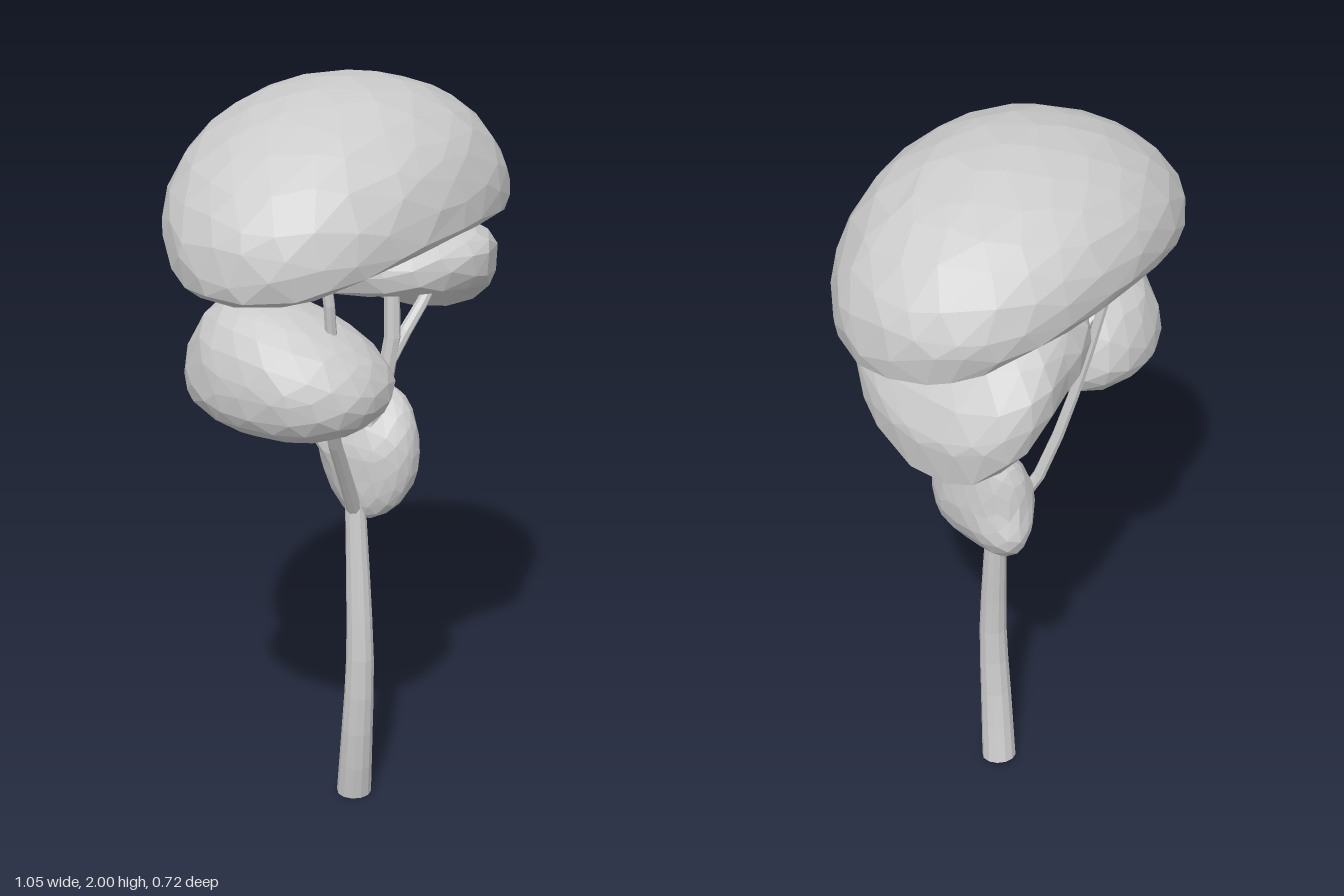
import * as THREE from 'three';

const material = new THREE.MeshStandardMaterial({ color: 0xcccccc, flatShading: true });

// Uneven facets: slide each point of a unit sphere by a repeatable amount
function ruffle(p, amount) {
  const { x, y, z } = p;
  p.x += amount * Math.sin(17 * y + 23 * z + 1);
  p.y += amount * Math.sin(19 * z + 13 * x + 2);
  p.z += amount * Math.sin(29 * x + 11 * y + 4);
  return p.normalize();
}

// Foliage clump: a faceted ball mapped by a shape rule; power above 2 fills out its shoulders
function clump(name, detail, power, rule) {
  const geo = new THREE.IcosahedronGeometry(1, detail);
  const pos = geo.attributes.position;
  const p = new THREE.Vector3();
  for (let i = 0; i < pos.count; i++) {
    ruffle(p.fromBufferAttribute(pos, i), 0.05);
    const sum = p.toArray().reduce((s, a) => s + Math.abs(a) ** power, 0);
    p.multiplyScalar(sum ** (-1 / power));
    pos.setXYZ(i, ...rule(p.x, p.y, p.z));
  }
  geo.computeVertexNormals();
  const mesh = new THREE.Mesh(geo, material);
  mesh.name = name;
  return mesh;
}

// Cap section: domed above, hollow with a rounded lip below
function cap(v, dome, lip, hollow) {
  return v > 0 ? dome * v : 4 * lip * v * (1 + hollow * v);
}

// Tapered limb through a few points
function limb(name, points, r0, r1, segments = 6, sides = 8) {
  const curve = new THREE.CatmullRomCurve3(points.map(a => new THREE.Vector3(...a)));
  const geo = new THREE.TubeGeometry(curve, segments, 1, sides, false);
  const pos = geo.attributes.position;
  const p = new THREE.Vector3();
  for (let i = 0; i < pos.count; i++) {
    const t = Math.floor(i / (sides + 1)) / segments;
    const c = curve.getPointAt(t);
    p.fromBufferAttribute(pos, i).sub(c).multiplyScalar(r0 + (r1 - r0) * t).add(c);
    pos.setXYZ(i, p.x, Math.max(p.y, 0), p.z);
  }
  geo.computeVertexNormals();
  const mesh = new THREE.Mesh(geo, material);
  mesh.name = name;
  return mesh;
}

export function createModel() {
  const tree = new THREE.Group();
  tree.name = 'tree';

  // Trunk with its closed foot
  tree.add(limb('trunk', [[0.029, 0, 0.025], [0.004, 0.2, 0.052], [-0.003, 0.42, 0.066],
    [0.008, 0.65, 0.052], [0.02, 0.88, 0.033]], 0.047, 0.027, 8, 12));
  const foot = new THREE.Mesh(new THREE.CircleGeometry(0.046, 12), material);
  foot.name = 'trunkFoot';
  foot.rotation.x = Math.PI / 2;
  foot.position.set(0.029, 0.002, 0.025);
  tree.add(foot);

  // Branches
  tree.add(
    limb('mainBranch', [[0.02, 0.86, 0.035], [0.05, 1.05, 0.045], [0.08, 1.28, 0.1],
      [0.09, 1.57, 0.09]], 0.027, 0.019),
    limb('forkBranch', [[0.08, 1.27, 0.1], [0.13, 1.35, 0.12], [0.22, 1.46, 0.14],
      [0.285, 1.7, 0.16]], 0.018, 0.012),
    limb('sideBranch', [[0.015, 0.85, 0.035], [-0.09, 1.02, 0.07], [-0.2, 1.2, 0.11],
      [-0.27, 1.43, 0.17], [-0.3, 1.69, 0.16]], 0.02, 0.013),
    limb('backBranch', [[0.06, 0.93, -0.04], [0.02, 1.04, -0.095], [-0.035, 1.3, -0.165],
      [-0.095, 1.7, -0.245]], 0.017, 0.012),
    limb('twig', [[-0.06, 1.52, -0.21], [-0.1, 1.48, -0.18], [-0.17, 1.4, -0.12]], 0.01, 0.008, 3));

  // Broad crown, drooping at both ends and slightly to the front
  tree.add(clump('crownFoliage', 4, 2.1, (u, v, w) => [
    0.527 * u,
    1.725 - 0.075 * u * u + 0.012 * u - 0.03 * w * (1 - Math.abs(v))
      + cap(v, 0.275, 0.04 + 0.055 * u * u, 0.83),
    0.362 * w]));

  // Middle clump, drooping to one side and set back where it droops
  tree.add(clump('middleFoliage', 3, 2.25, (u, v, w) => [
    0.16 + 0.285 * u,
    1.55 - 0.17 * Math.max(u, 0) ** 2 - 0.02 * Math.min(u, 0) ** 2 + 0.03 * w * (1 - Math.max(v, 0))
      + cap(v, 0.125, 0.072 + 0.035 * u, 0.75),
    0.035 + 0.312 * w - 0.09 * Math.max(u, 0)]));

  // Side clump: rounded above, higher at the back, broad and flat below
  tree.add(clump('sideFoliage', 3, 2.35, (u, v, w) => {
    const rise = Math.max(v, 0);
    return [
      -0.265 + 0.215 * u * (1 - 0.15 * rise) - 0.03 * rise,
      1.32 + (v > 0 ? 0.195 : 0.14) * v - 0.05 * w * rise,
      0.035 + 0.265 * w * (1 - 0.12 * rise)];
  }));

  // Small upright clump beside the trunk fork: leaning top and a lobe low at the back
  tree.add(clump('lowerFoliage', 3, 2.2, (u, v, w) => {
    const lobe = Math.max(0, -v) * Math.max(0, -w);
    return [
      0.1 + 0.1 * u * (1 - 0.15 * Math.max(v, 0)) + 0.04 * v * Math.abs(v) + 0.1 * lobe,
      0.995 + 0.177 * v + 0.02 * lobe,
      0.02 + 0.143 * w - 0.06 * lobe];
  }));

  return tree;
}
